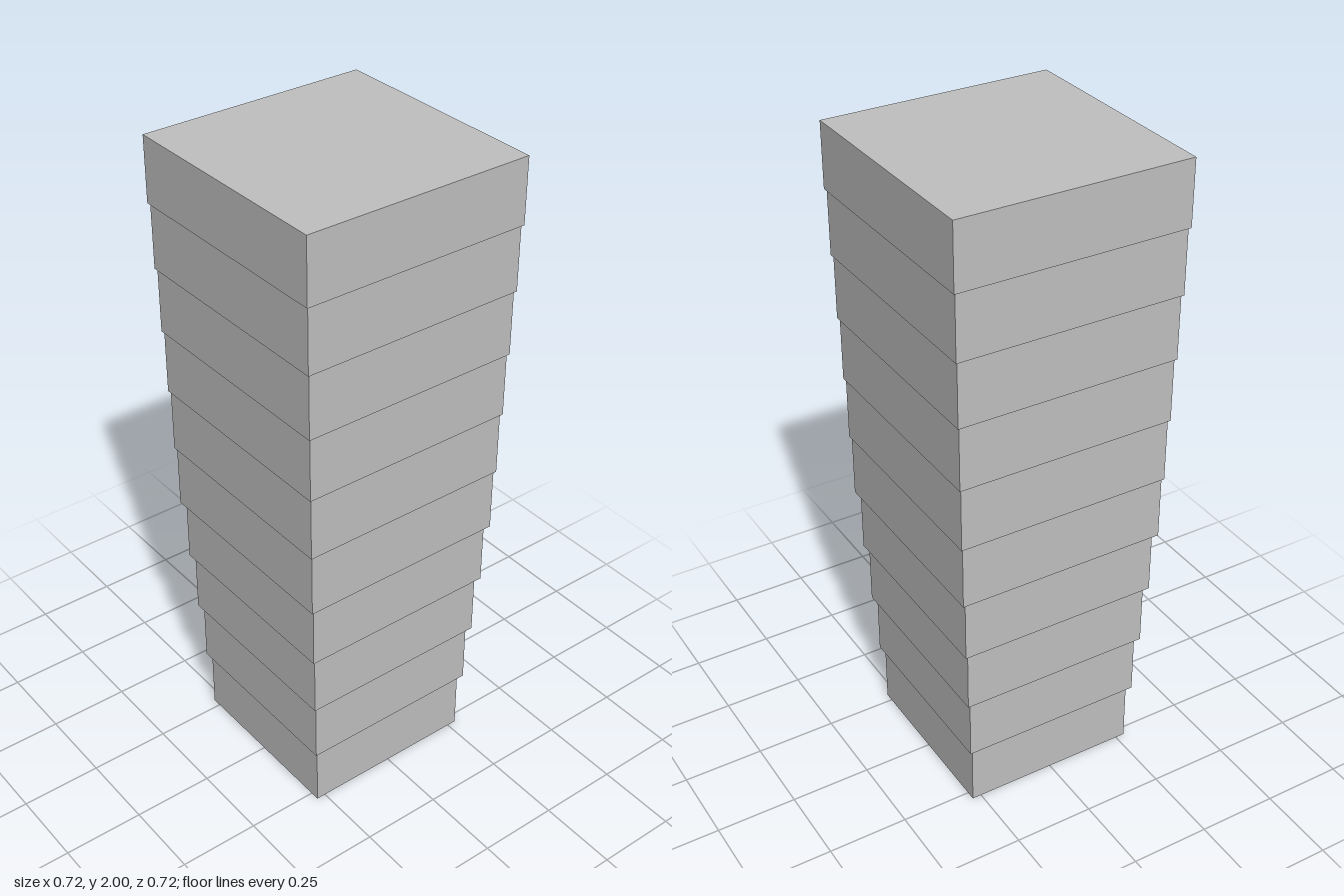
import * as THREE from 'three';

export function createModel() {
  const group = new THREE.Group();
  group.name = 'steppedTower';
  const grey = new THREE.MeshStandardMaterial({ color: 0xc0c0c0 });
  grey.name = 'light grey';

  // Ten square blocks, widening upward: wide steps below, fine steps above
  const count = 10, height = 0.2, lowerStep = 0.0258, upperStep = 0.0111;
  let width = 0.558;
  for (let i = 0; i < count; i++) {
    const block = new THREE.Mesh(new THREE.BoxGeometry(width, height, width), grey);
    block.name = `block${i + 1}`;
    block.position.y = height * (i + 0.5);
    group.add(block);
    width += i < 4 ? lowerStep : upperStep;
  }
  return group;
}
